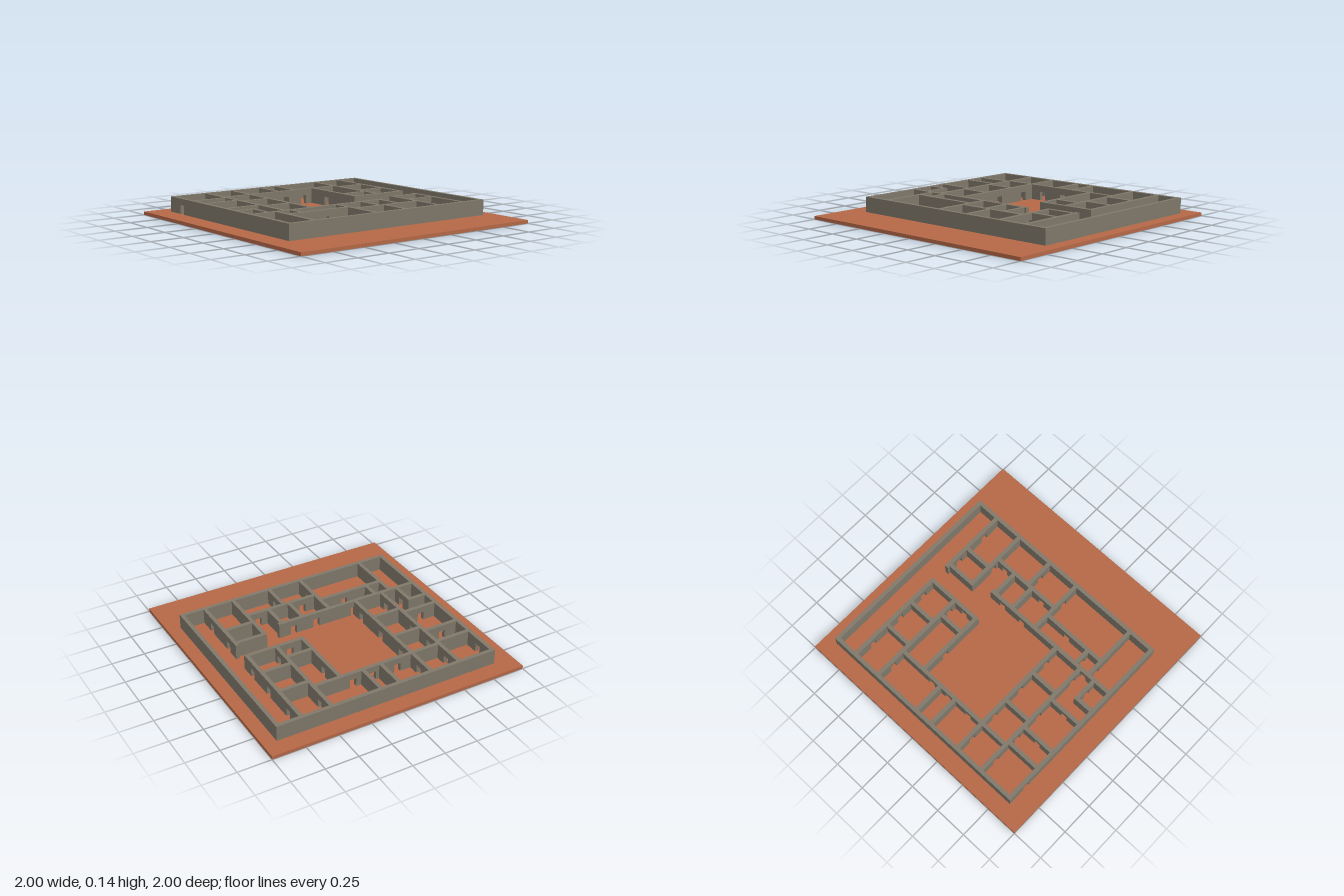
import * as THREE from 'three';

const FLOOR = 0.025, TOP = 0.14, THICK = 0.03;
const DOOR_W = 0.05, DOOR_TOP = 0.092;

// Walls running along z: [x, zStart, zEnd, [door centres]]
const WALLS_Z = [
  [-0.825, -0.875, 0.645, [-0.71]],
  [0.885, -0.875, 0.645, []],
  [-0.545, -0.86, 0.17, [-0.72, -0.5, -0.28, 0.08]],
  [-0.315, -0.86, 0.17, [-0.72, -0.49, -0.22, 0.05]],
  [-0.055, -0.86, -0.6, []],
  [0.09, -0.86, -0.6, []],
  [0.475, -0.86, -0.06, [-0.72, -0.14]],
  [0.705, -0.86, -0.05, [-0.7, -0.42, -0.18]],
  [0.265, -0.605, -0.05, [-0.4]],
  [-0.68, -0.02, 0.17, [0.08]],
  [-0.62, 0.17, 0.63, [0.25]],
  [-0.495, 0.17, 0.31, [0.24]],
  [-0.095, 0.17, 0.63, [0.48]],
  [0.13, 0.17, 0.4, []],
  [0.3, 0.17, 0.4, []],
  [0.17, 0.4, 0.63, [0.51]],
  [0.475, 0.1, 0.63, [0.33]],
  [0.705, 0.08, 0.63, [0.2, 0.47]],
];

// Walls running along x: [z, xStart, xEnd, [door centres]]
const WALLS_X = [
  [-0.86, -0.84, 0.9, []],
  [0.63, -0.84, 0.9, []],
  [-0.605, -0.56, 0.475, [-0.19, 0.01, 0.17]],
  [-0.575, -0.83, -0.53, []],
  [-0.42, -0.83, -0.545, [-0.69]],
  [-0.14, -0.83, -0.545, [-0.69]],
  [-0.01, -0.83, -0.665, []],
  [0.175, -0.83, 0.33, [-0.59, -0.3, 0.02, 0.21]],
  [-0.365, -0.545, -0.315, []],
  [-0.085, -0.545, -0.315, []],
  [-0.215, 0.265, 0.475, []],
  [-0.065, 0.25, 0.72, [0.37]],
  [-0.54, 0.475, 0.705, []],
  [-0.295, 0.475, 0.705, []],
  [0.315, -0.62, -0.095, [-0.3]],
  [0.39, -0.095, 0.475, [0.02, 0.39]],
  [0.115, 0.475, 0.705, []],
  [0.295, 0.475, 0.705, []],
];

export function createModel() {
  const model = new THREE.Group();
  const earth = new THREE.MeshStandardMaterial({ color: 0xb56847 });
  earth.name = 'terracotta ground';
  const stone = new THREE.MeshStandardMaterial({ color: 0x7f786a });
  stone.name = 'grey stone';

  const ground = new THREE.Mesh(new THREE.BoxGeometry(2, FLOOR, 2), earth);
  ground.name = 'groundSlab';
  ground.position.y = FLOOR / 2;
  model.add(ground);

  // One straight wall: piers between the doorways, lintels over them
  function addWall(alongX, pos, start, end, doors, name) {
    const wall = new THREE.Group();
    wall.name = name;
    const block = (a, b, y0, y1, part) => {
      const length = b - a;
      const mesh = new THREE.Mesh(
        new THREE.BoxGeometry(alongX ? length : THICK, y1 - y0, alongX ? THICK : length), stone);
      const mid = (a + b) / 2;
      mesh.position.set(alongX ? mid : pos, (y0 + y1) / 2, alongX ? pos : mid);
      mesh.name = part;
      wall.add(mesh);
    };
    let from = start;
    for (const d of doors) {
      block(from, d - DOOR_W / 2, FLOOR, TOP, 'wallPier');
      block(d - DOOR_W / 2, d + DOOR_W / 2, DOOR_TOP, TOP, 'doorLintel');
      from = d + DOOR_W / 2;
    }
    block(from, end, FLOOR, TOP, 'wallPier');
    model.add(wall);
  }

  WALLS_Z.forEach(([p, a, b, doors], i) => addWall(false, p, a, b, doors, i < 2 ? 'outerSideWall' : 'innerCrossWall'));
  WALLS_X.forEach(([p, a, b, doors], i) => addWall(true, p, a, b, doors, i < 2 ? 'outerEndWall' : 'innerLongWall'));
  return model;
}
